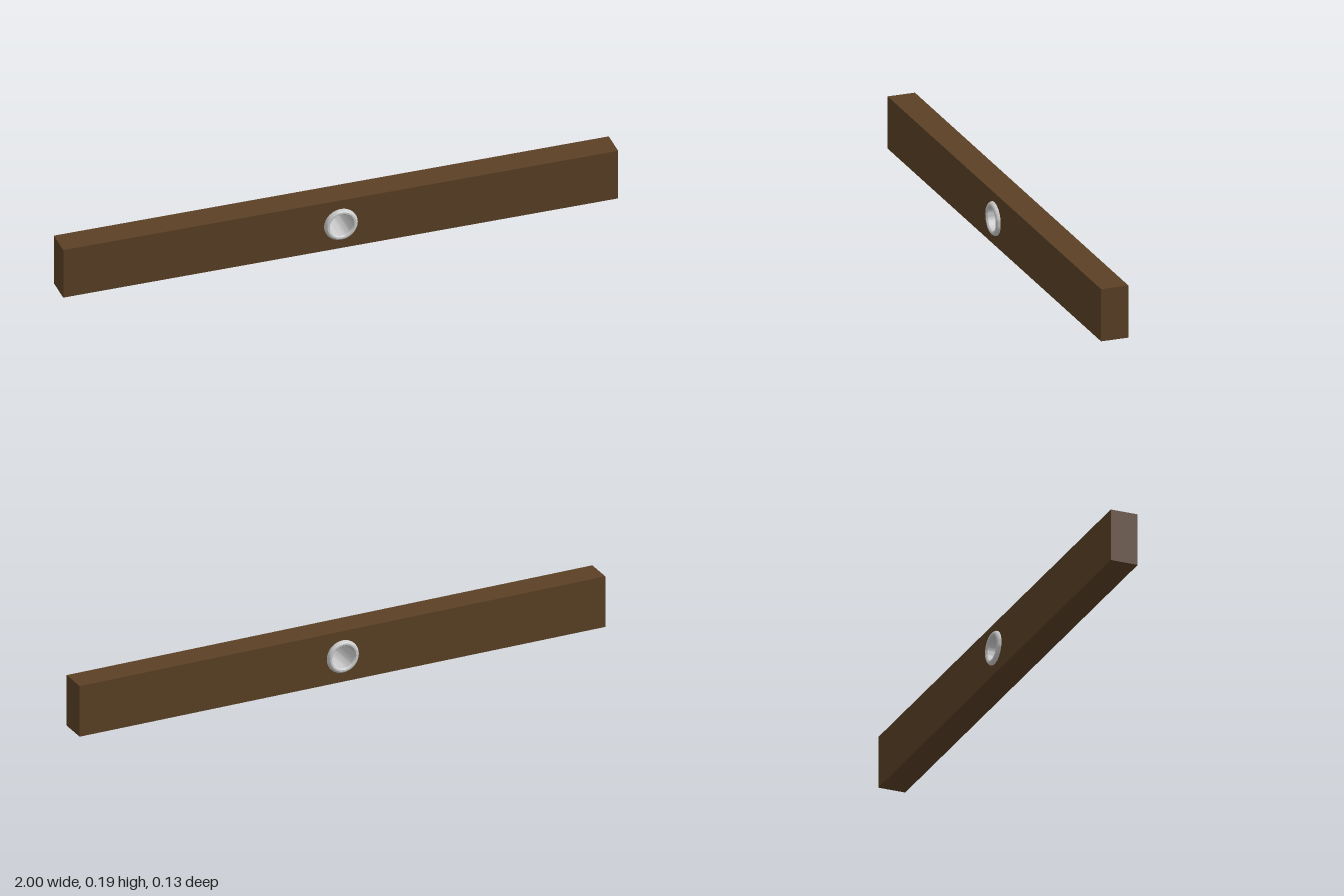
import * as THREE from 'three';
import { toCreasedNormals } from 'three/addons/utils/BufferGeometryUtils.js';

const LENGTH = 2, HEIGHT = 0.19, DEPTH = 0.1, HOLE = 0.055;

export function createModel() {
  const group = new THREE.Group();
  const wood = new THREE.MeshStandardMaterial({ color: 0x5a4025 });
  const metal = new THREE.MeshStandardMaterial({ color: 0xcccccc });

  // Wooden beam with a round hole through its middle
  const outline = new THREE.Shape([
    new THREE.Vector2(-LENGTH / 2, -HEIGHT / 2),
    new THREE.Vector2(LENGTH / 2, -HEIGHT / 2),
    new THREE.Vector2(LENGTH / 2, HEIGHT / 2),
    new THREE.Vector2(-LENGTH / 2, HEIGHT / 2),
  ]);
  outline.holes.push(new THREE.Path().absarc(0, 0, HOLE, 0, Math.PI * 2, true));
  const beamGeometry = new THREE.ExtrudeGeometry(outline, {
    depth: DEPTH, bevelEnabled: false, curveSegments: 24,
  });
  beamGeometry.translate(0, HEIGHT / 2, -DEPTH / 2);
  const beam = new THREE.Mesh(beamGeometry, wood);
  beam.name = 'beam';
  group.add(beam);

  // Metal sleeve lining the hole, with a rounded flange on each face
  const half = [[0.042, 0.058], [0.046, 0.063], [0.052, 0.063], [0.057, 0.059], [0.06, 0.054], [0.06, 0.05], [HOLE, 0.05]];
  const front = half.map(([r, z]) => new THREE.Vector2(r, z));
  const back = half.map(([r, z]) => new THREE.Vector2(r, -z)).reverse();
  const profile = [...back, ...front, back[back.length - 1].clone()];
  // Run the closed loop so that its faces point outwards
  const loop = [...front].reverse().concat([...back].reverse(), [front[front.length - 1].clone()]).reverse();
  const sleeveGeometry = toCreasedNormals(new THREE.LatheGeometry(loop, 48), 0.6);
  sleeveGeometry.rotateX(Math.PI / 2);
  const sleeve = new THREE.Mesh(sleeveGeometry, metal);
  sleeve.material.side = THREE.DoubleSide;
  sleeve.position.y = HEIGHT / 2 + 0.001;
  sleeve.name = 'sleeve';
  group.add(sleeve);

  return group;
}
